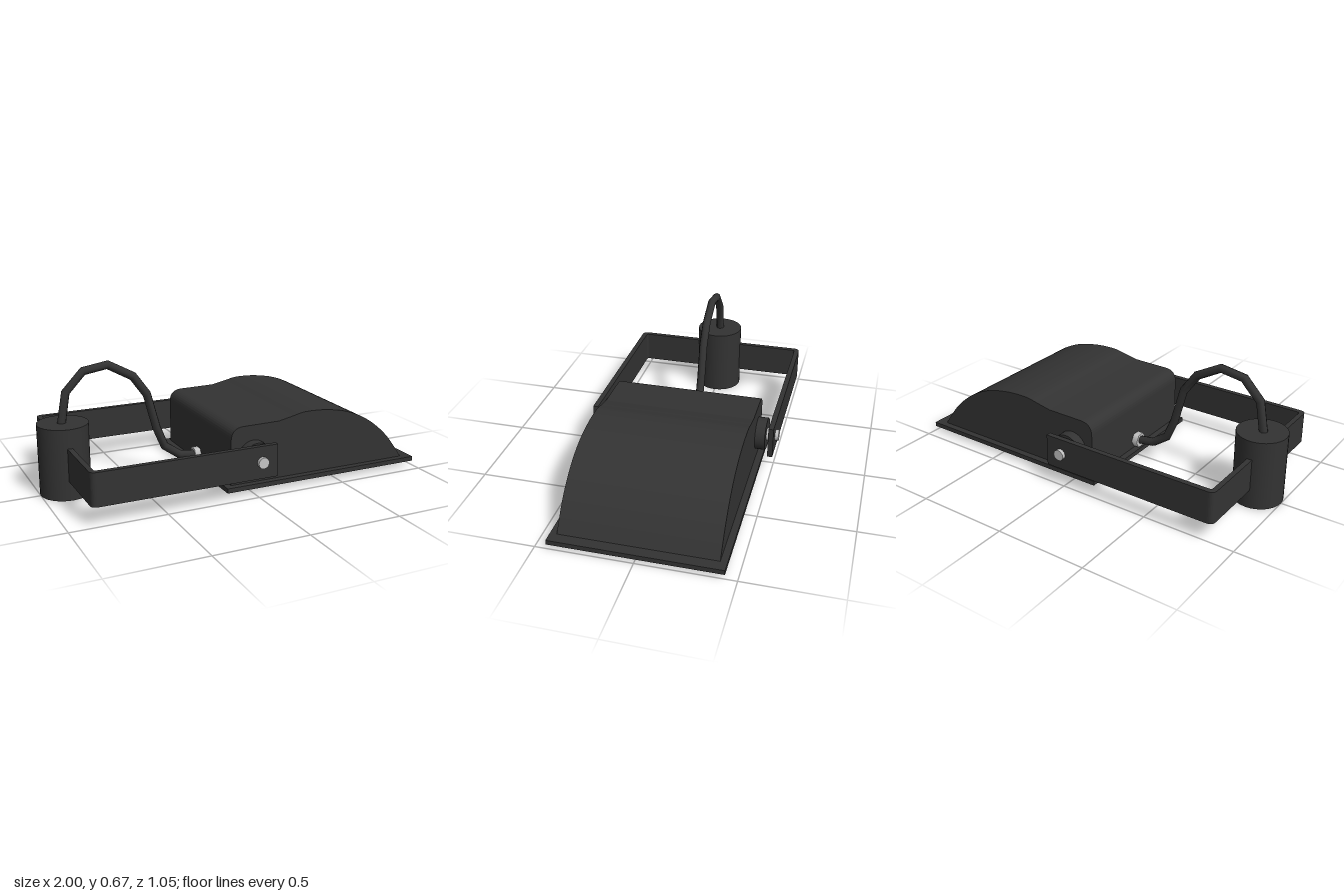
import * as THREE from 'three';

export function createModel() {
  const root = new THREE.Group();
  const black = new THREE.MeshStandardMaterial({ color: 0x333333 });
  black.name = 'black paint';
  const steel = new THREE.MeshStandardMaterial({ color: 0xc4c4c4 });
  steel.name = 'steel';
  const glass = new THREE.MeshStandardMaterial({ color: 0xb4b4b4 });
  glass.name = 'frosted glass';

  const add = (name, geometry, material, x = 0, y = 0, z = 0) => {
    const mesh = new THREE.Mesh(geometry, material);
    mesh.name = name;
    mesh.position.set(x, y, z);
    root.add(mesh);
    return mesh;
  };
  const extrude = (shape, depth) =>
    new THREE.ExtrudeGeometry(shape, { depth, bevelEnabled: false, curveSegments: 8 });

  // Lamp housing: side profile swept across the width
  const profile = new THREE.Shape();
  profile.moveTo(-0.115, 0.045);
  profile.lineTo(-0.115, 0.295);
  profile.quadraticCurveTo(-0.112, 0.355, -0.05, 0.358);
  profile.lineTo(0.16, 0.36);
  profile.splineThru([[0.24, 0.376], [0.32, 0.39], [0.45, 0.384], [0.59, 0.353],
    [0.72, 0.288], [0.84, 0.185], [0.945, 0.045]].map(p => new THREE.Vector2(...p)));
  profile.closePath();
  add('housing', extrude(profile, 0.81), black, 0, 0, -0.405);

  // Front frame and its window
  add('frame', new THREE.BoxGeometry(1.15, 0.025, 0.88), black, 0.425, 0.0375, 0);
  add('window', new THREE.BoxGeometry(0.735, 0.004, 0.68), glass, 0.538, 0.0245, 0);

  // U-shaped bracket drawn in plan, with rounded corners
  const u = new THREE.Shape();
  u.moveTo(0.1, -0.505);
  u.lineTo(0.1, -0.477);
  u.lineTo(-0.845, -0.477);
  u.quadraticCurveTo(-0.857, -0.477, -0.857, -0.465);
  u.lineTo(-0.857, 0.465);
  u.quadraticCurveTo(-0.857, 0.477, -0.845, 0.477);
  u.lineTo(0.1, 0.477);
  u.lineTo(0.1, 0.505);
  u.lineTo(-0.85, 0.505);
  u.quadraticCurveTo(-0.884, 0.505, -0.884, 0.47);
  u.lineTo(-0.884, -0.47);
  u.quadraticCurveTo(-0.884, -0.505, -0.85, -0.505);
  u.closePath();
  add('bracket', extrude(u, 0.173), black, 0, 0.275, 0).rotation.x = Math.PI / 2;

  // Pivot hubs, washers and bolts on both sides
  for (const s of [-1, 1]) {
    const disc = (name, r, from, to, sides, mat) => {
      const g = new THREE.CylinderGeometry(r, r, to - from, sides);
      add(name, g, mat, 0.012, 0.19, s * (from + to) / 2).rotation.x = Math.PI / 2;
    };
    disc('pivotHub', 0.088, 0.40, 0.459, 32, black);
    disc('washer', 0.035, 0.455, 0.479, 16, steel);
    disc('bolt', 0.03, 0.47, 0.524, 12, steel);
  }

  // Mounting post
  add('post', new THREE.CylinderGeometry(0.132, 0.132, 0.375, 32), black, -0.868, 0.1875, 0);

  // Power cable, with one ring at each point of its path
  const path = new THREE.CatmullRomCurve3([[-0.875, 0.36], [-0.845, 0.53], [-0.75, 0.63],
    [-0.62, 0.65], [-0.485, 0.575], [-0.41, 0.47], [-0.36, 0.28], [-0.315, 0.17],
    [-0.23, 0.11], [-0.12, 0.095]].map(([x, y]) => new THREE.Vector3(x, y, 0)));
  path.getPointAt = path.getPoint;
  path.getTangentAt = path.getTangent;
  add('cable', new THREE.TubeGeometry(path, 9, 0.023, 8, false), black);

  // Cable gland
  add('cableGland', new THREE.CylinderGeometry(0.042, 0.042, 0.034, 6), steel, -0.131, 0.095, 0)
    .rotation.z = Math.PI / 2;

  return root;
}
